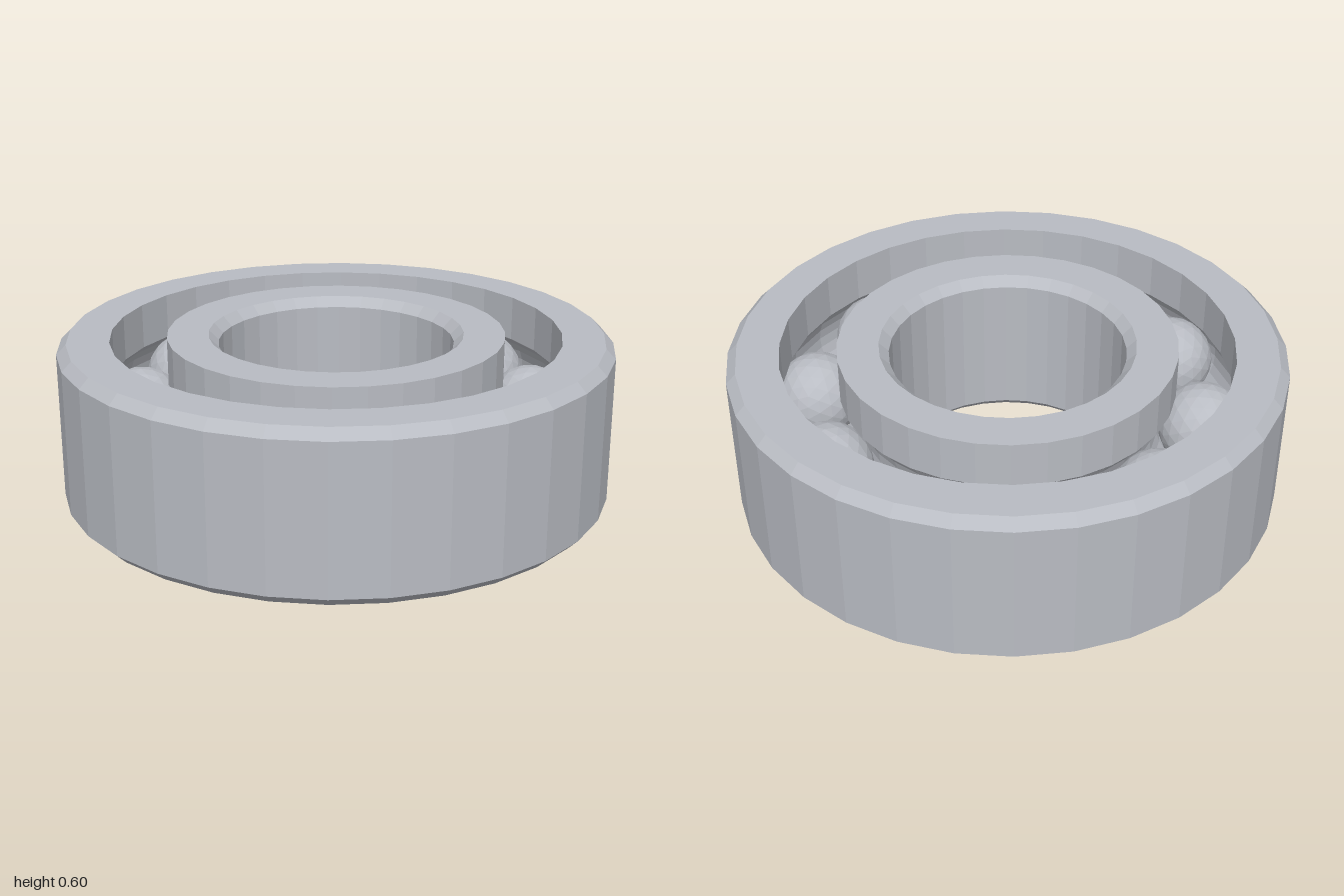
import * as THREE from 'three';

const HEIGHT = 0.6, MID = HEIGHT / 2, CHAMFER = 0.035;
const PITCH = 0.712;          // radius of the circle of ball centres
const BALL = 0.16, GROOVE = 0.166;
const SIDES = 32, BALLS = 10;

// Raceway arc from bottom to top; dir is +1 for the outer ring, -1 for the inner
function raceway(wallRadius, dir) {
  const half = Math.acos(Math.abs(wallRadius - PITCH) / GROOVE);
  const points = [];
  for (let i = 0; i <= 8; i++) {
    const a = -half + (2 * half * i) / 8;
    points.push([PITCH + dir * GROOVE * Math.cos(a), MID + GROOVE * Math.sin(a)]);
  }
  return points;
}

// Closed ring turned from a counter-clockwise [radius, y] section
function ring(name, section, material) {
  const points = [...section, section[0]].map(([r, y]) => new THREE.Vector2(r, y));
  const mesh = new THREE.Mesh(new THREE.LatheGeometry(points, SIDES), material);
  mesh.name = name;
  return mesh;
}

export function createModel() {
  const group = new THREE.Group();
  group.name = 'ballBearing';
  const steel = new THREE.MeshStandardMaterial({ color: 0xb9bcc3 });
  steel.name = 'steel';
  steel.flatShading = true;

  // Outer ring: chamfered outside, ball groove inside
  const wallOut = 0.813;
  group.add(ring('outerRing', [
    [1 - CHAMFER, 0], [1, CHAMFER], [1, HEIGHT - CHAMFER], [1 - CHAMFER, HEIGHT],
    [wallOut, HEIGHT], ...raceway(wallOut, 1).reverse(), [wallOut, 0],
  ], steel));

  // Inner ring: ball groove outside, chamfered bore
  const wallIn = 0.61, bore = 0.426;
  group.add(ring('innerRing', [
    [wallIn, 0], ...raceway(wallIn, -1), [wallIn, HEIGHT],
    [bore + CHAMFER, HEIGHT], [bore, HEIGHT - CHAMFER], [bore, CHAMFER], [bore + CHAMFER, 0],
  ], steel));

  // Balls spaced evenly between the rings
  const ballGeometry = new THREE.IcosahedronGeometry(BALL, 3);
  for (let i = 0; i < BALLS; i++) {
    const a = (i / BALLS) * Math.PI * 2;
    const ball = new THREE.Mesh(ballGeometry, steel);
    ball.name = `ball${i + 1}`;
    ball.position.set(PITCH * Math.cos(a), MID, PITCH * Math.sin(a));
    ball.rotation.y = -a;
    group.add(ball);
  }
  return group;
}
